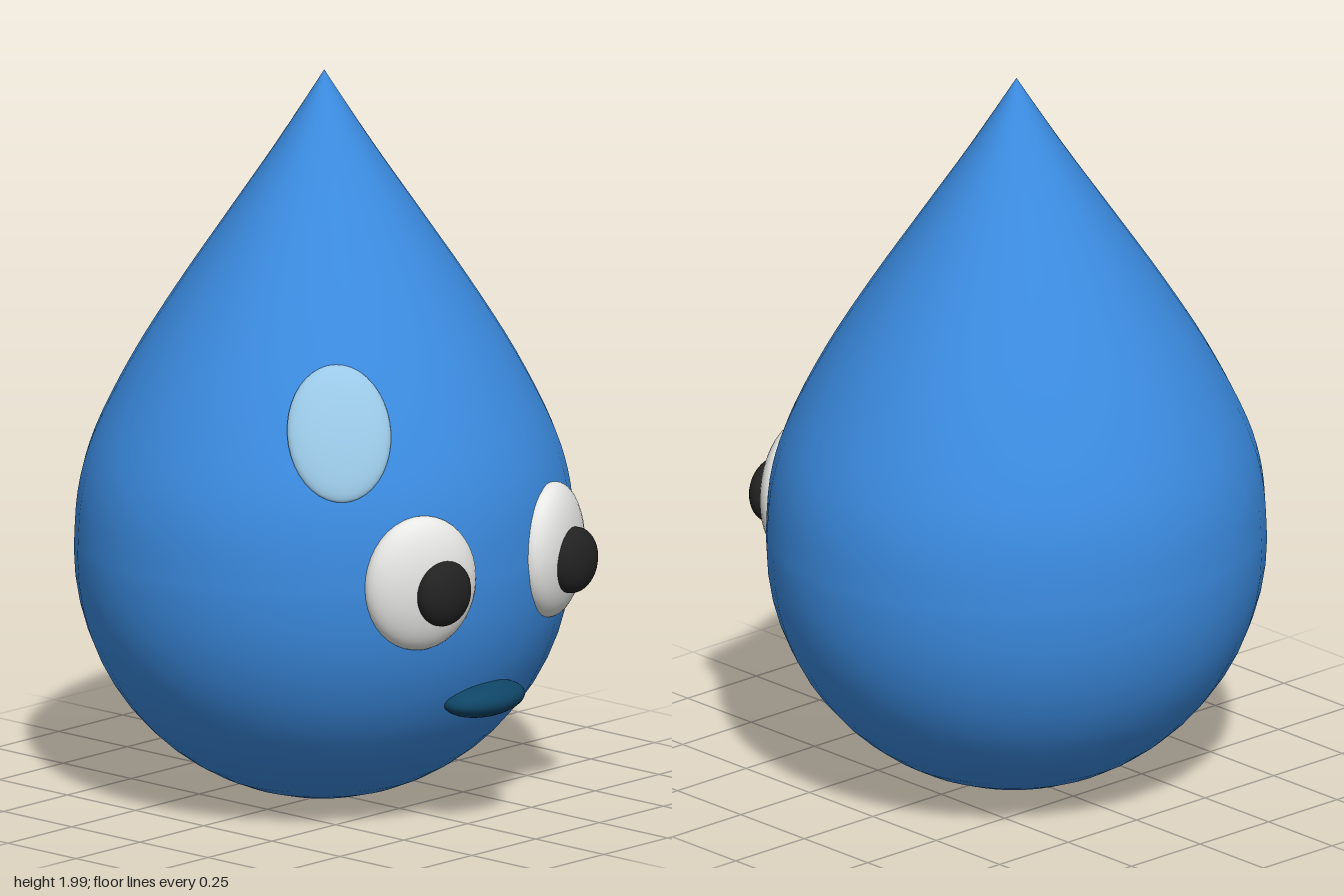
import * as THREE from 'three';

const mat = (name, color) => {
  const m = new THREE.MeshStandardMaterial({ color });
  m.name = name;
  return m;
};

export function createModel() {
  const blue = mat('water blue', 0x3b8be0);
  const pale = mat('pale blue', 0x9ac8e6);
  const white = mat('eye white', 0xe8e8e6);
  const black = mat('pupil black', 0x222222);
  const teal = mat('dark teal', 0x0f4566);

  const group = new THREE.Group();
  group.name = 'waterDrop';

  // Body: round bowl below, curving up to a sharp tip
  const profile = [new THREE.Vector2(0, 0.008)];
  const bowl = 14;
  for (let i = 1; i <= bowl; i++) {
    const a = (i / bowl) * Math.PI / 2;
    profile.push(new THREE.Vector2(0.683 * Math.sin(a), 0.69 - 0.682 * Math.cos(a)));
  }
  const upper = new THREE.SplineCurve([
    [0.683, 0.69], [0.672, 0.85], [0.63, 1.0], [0.53, 1.2],
    [0.405, 1.4], [0.268, 1.6], [0.13, 1.8], [0, 2],
  ].map(([r, y]) => new THREE.Vector2(r, y)));
  profile.push(...upper.getPoints(28).slice(1, -1), new THREE.Vector2(0, 2));
  const body = new THREE.Mesh(new THREE.LatheGeometry(profile, 40), blue);
  body.name = 'body';
  body.scale.z = 0.966;
  body.position.z = -0.026;
  group.add(body);

  // Flattened balls for the face parts
  const ball = new THREE.SphereGeometry(1, 32, 20);
  const blob = (name, material, position, radii, yaw = 0, pitch = 0) => {
    const mesh = new THREE.Mesh(ball, material);
    mesh.name = name;
    mesh.position.set(...position);
    mesh.scale.set(...radii);
    mesh.rotation.set(pitch, yaw, 0, 'YXZ');
    group.add(mesh);
  };

  // Eyes follow the curve of the body
  for (const [side, s, pupilX] of [['left', 1, 0.27], ['right', -1, -0.238]]) {
    blob(side + 'Eye', white, [s * 0.257, 0.73, 0.567], [0.163, 0.184, 0.072], s * 0.37);
    blob(side + 'Pupil', black, [pupilX, 0.71, 0.636], [0.087, 0.09, 0.05], s * 0.1);
  }

  // Mouth and the shine on the upper right
  blob('mouth', teal, [0, 0.365, 0.56], [0.137, 0.047, 0.08]);
  blob('shine', pale, [-0.37, 1.13, 0.375], [0.14, 0.19, 0.035], -0.7, -0.47);

  return group;
}
